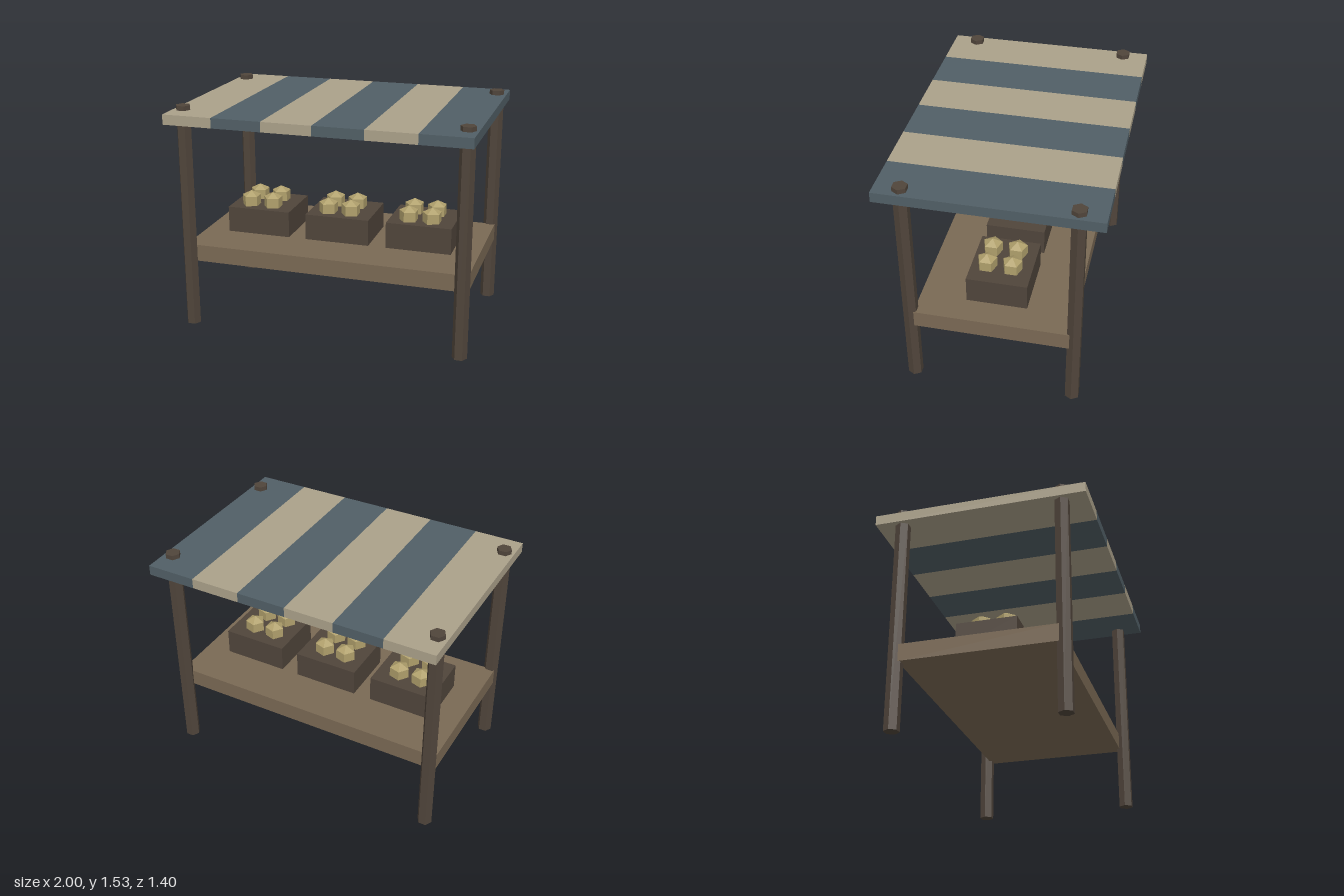
import * as THREE from 'three';

const paint = (color) => new THREE.MeshStandardMaterial({ color, flatShading: true });

export function createModel() {
  const stall = new THREE.Group();
  stall.name = 'marketStall';

  const darkWood = paint(0x50453b);
  const wood = paint(0x7a6954);
  const cream = paint(0xaba18a);
  const slate = paint(0x515f66);
  const produceColor = paint(0xb0a06c);

  const add = (parent, name, geometry, material, x, y, z) => {
    const mesh = new THREE.Mesh(geometry, material);
    mesh.name = name;
    mesh.position.set(x, y, z);
    parent.add(mesh);
    return mesh;
  };

  // Four hexagonal posts, corners pointing sideways
  const postGeo = new THREE.CylinderGeometry(0.05, 0.05, 1.533, 6).rotateY(Math.PI / 6);
  for (const x of [-0.933, 0.933])
    for (const z of [-0.533, 0.533])
      add(stall, 'post', postGeo, darkWood, x, 1.533 / 2, z);

  // Counter
  add(stall, 'counter', new THREE.BoxGeometry(1.935, 0.115, 1.016), wood, 0, 0.5025, 0);

  // Flat canopy of six alternating stripes
  const canopy = new THREE.Group();
  canopy.name = 'canopy';
  stall.add(canopy);
  const stripeGeo = new THREE.BoxGeometry(1 / 3, 0.067, 1.4);
  for (let i = 0; i < 6; i++)
    add(canopy, 'canopyStripe', stripeGeo, i % 2 ? slate : cream, -1 + (i + 0.5) / 3, 1.469, 0);

  // Crates, each holding four five-sided pieces of produce
  const crateGeo = new THREE.BoxGeometry(0.445, 0.179, 0.4);
  const produceGeo = new THREE.SphereGeometry(0.0767, 5, 3).scale(1, 0.9, 1);
  for (const x of [-0.567, 0, 0.567]) {
    const crate = new THREE.Group();
    crate.name = 'filledCrate';
    crate.position.x = x;
    stall.add(crate);
    add(crate, 'crate', crateGeo, darkWood, 0, 0.6555, 0);
    for (const px of [-0.09, 0.07])
      for (const pz of [-0.071, 0.095])
        add(crate, 'produce', produceGeo, produceColor, px, 0.778, pz);
  }

  return stall;
}
